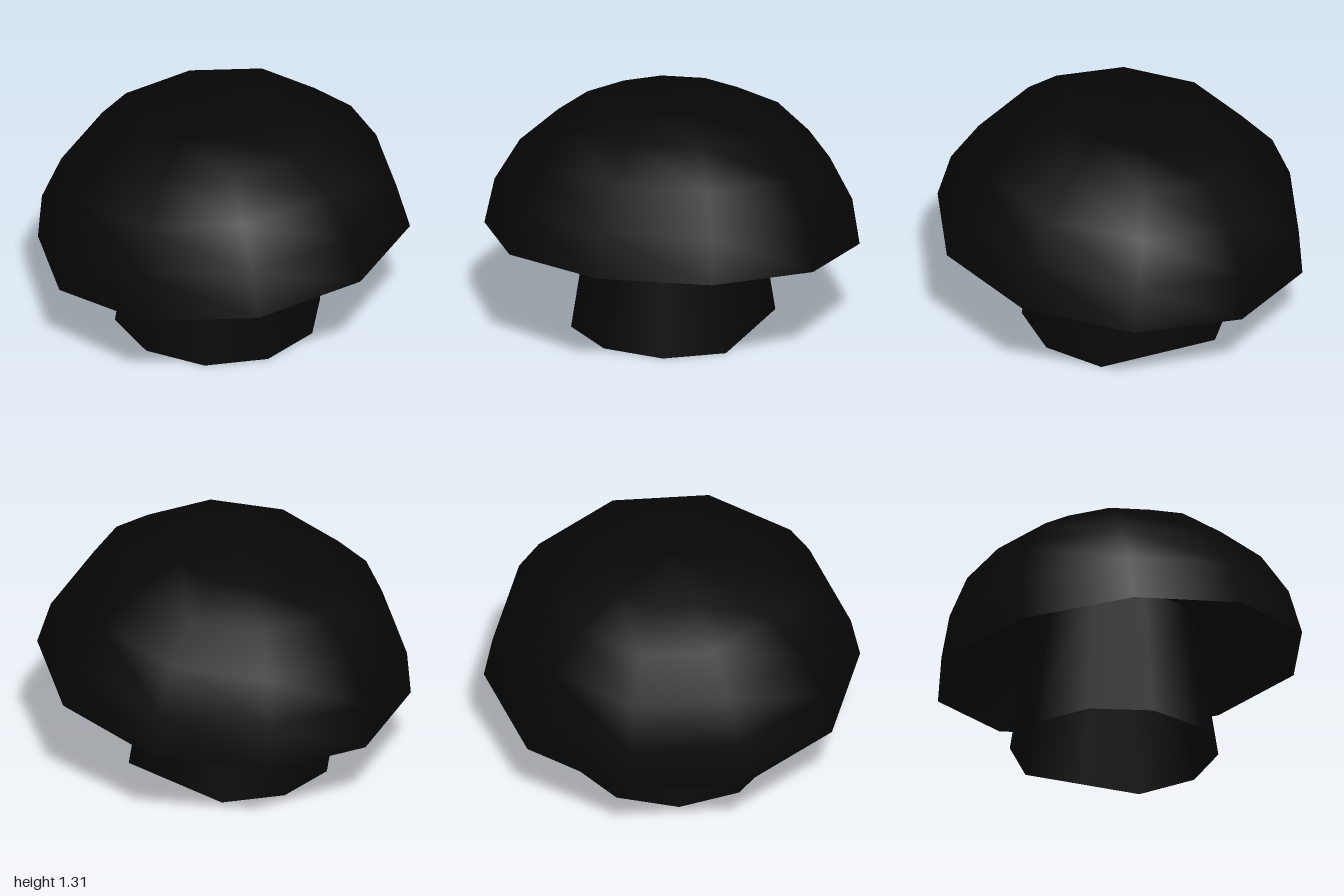
import * as THREE from 'three';

const SIDES = 10;
const STEP = (Math.PI * 2) / SIDES;

export function createModel() {
  const model = new THREE.Group();
  model.name = 'mushroom';
  const black = new THREE.MeshStandardMaterial({ color: 0x060606, side: THREE.DoubleSide });
  black.name = 'black';

  // Tapered open stem ending inside the cap
  const stemHeight = 0.75;
  const stemGeometry = new THREE.CylinderGeometry(0.44, 0.557, stemHeight, SIDES, 1, true, 4.5 * STEP);
  // One back corner is cut flat: pull it onto the chord of its neighbours
  const corners = stemGeometry.attributes.position;
  for (const i of [SIDES - 1, 2 * SIDES]) {
    corners.setX(i, corners.getX(i) * Math.cos(STEP));
    corners.setZ(i, corners.getZ(i) * Math.cos(STEP));
  }
  const stem = new THREE.Mesh(stemGeometry, black);
  stem.name = 'stem';
  stem.position.set(-0.03, stemHeight / 2, -0.025);
  model.add(stem);

  // Tilted hollow cap
  const profile = [[1.005, 0], [0.958, 0.245], [0.83, 0.47], [0.63, 0.65], [0.375, 0.765], [0, 0.795]];
  const cap = new THREE.Mesh(
    new THREE.LatheGeometry(profile.map(([r, y]) => new THREE.Vector2(r, y)), SIDES),
    black
  );
  cap.name = 'cap';
  cap.position.y = 0.508;
  cap.quaternion.setFromUnitVectors(
    new THREE.Vector3(0, 1, 0),
    new THREE.Vector3(-0.089, 1, -0.089).normalize()
  );
  model.add(cap);

  return model;
}
